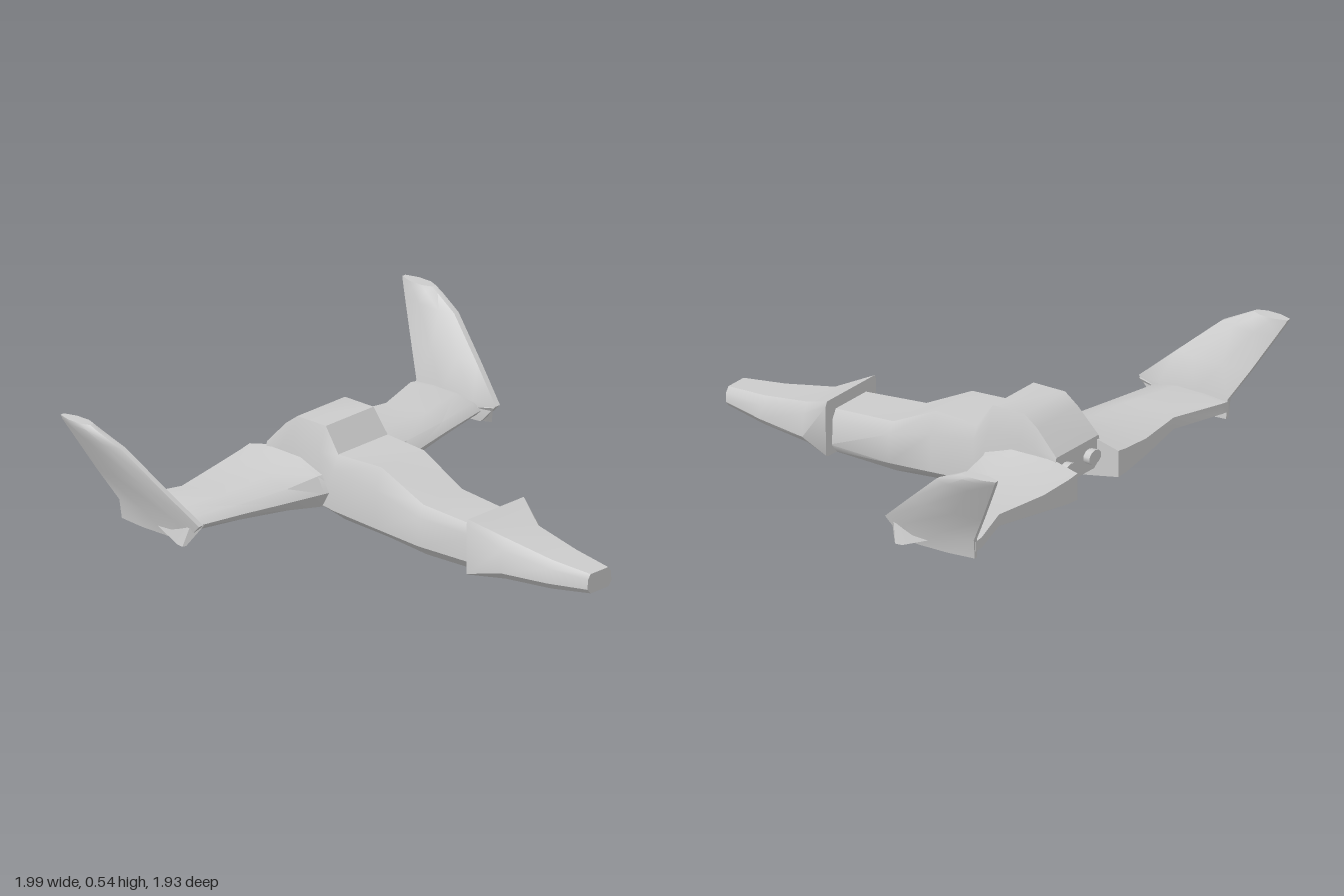
import * as THREE from 'three';
import { toCreasedNormals } from 'three/addons/utils/BufferGeometryUtils.js';

const material = new THREE.MeshStandardMaterial({ color: 0xcccccc, side: THREE.DoubleSide });

// Skin a list of equal-length rings of [x, y, z] points and close both ends.
function loft(name, rings, crease = 0.75) {
  const n = rings[0].length;
  const points = rings.flat();
  const faces = [];
  for (let r = 0; r < rings.length - 1; r++) {
    for (let i = 0; i < n; i++) {
      const a = r * n + i, b = r * n + (i + 1) % n;
      faces.push([a, b, b + n], [a, b + n, a + n]);
    }
  }
  for (const r of [0, rings.length - 1]) {
    const centre = [0, 1, 2].map(k => rings[r].reduce((s, p) => s + p[k], 0) / n);
    const c = points.push(centre) - 1;
    for (let i = 0; i < n; i++) {
      const a = r * n + i, b = r * n + (i + 1) % n;
      faces.push(r === 0 ? [b, a, c] : [a, b, c]);
    }
  }
  // A negative enclosed volume means the faces point inward.
  const v = points.map(p => new THREE.Vector3(...p));
  const volume = faces.reduce((s, [a, b, c]) => s + v[a].dot(v[b].clone().cross(v[c])), 0);
  if (volume < 0) faces.forEach(f => f.reverse());
  let geometry = new THREE.BufferGeometry();
  geometry.setAttribute('position', new THREE.Float32BufferAttribute(points.flat(), 3));
  geometry.setIndex(faces.flat());
  geometry = toCreasedNormals(geometry, crease);
  const mesh = new THREE.Mesh(geometry, material);
  mesh.name = name;
  return mesh;
}

// Hull cross-section: flat bottom, upright sides, narrower top.
const hullRing = ([z, bottom, low, high, top, wBottom, wLow, wHigh, wTop]) => [
  [wBottom, bottom, z], [wLow, low, z], [wHigh, high, z], [wTop, top, z],
  [-wTop, top, z], [-wHigh, high, z], [-wLow, low, z], [-wBottom, bottom, z],
];

// Wing cross-section: rounded leading edge and blunt trailing edge.
const wingProfile = [[0, 0.45], [0.08, 0.8], [0.35, 1], [0.7, 0.97], [1, 0.8],
  [1, 0.25], [0.7, 0.12], [0.35, 0], [0.08, 0.1]];
const wingRing = ([x, lead, trail, bottom, top]) => wingProfile.map(([f, h]) =>
  [x, bottom + (top - bottom) * h, lead + (trail - lead) * f]);

// Fin cross-section: a thin lens lying level.
const finProfile = [[0, -0.4], [0, 0.4], [0.25, 1], [0.65, 1], [1, 0.35],
  [1, -0.35], [0.65, -1], [0.25, -1]];
const finRing = ([y, x, half, lead, trail]) => finProfile.map(([f, w]) =>
  [x + half * w, y, lead + (trail - lead) * f]);

export function createModel() {
  const model = new THREE.Group();

  // Hull, with a raised back and a cabin hump
  const hull = new THREE.Group();
  hull.name = 'hull';
  hull.position.x = -0.004;
  model.add(hull);
  hull.add(loft('fuselage', [
    [0.43, 0.01, 0.05, 0.16, 0.195, 0.09, 0.125, 0.12, 0.10],
    [0.14, 0.002, 0.05, 0.17, 0.215, 0.09, 0.14, 0.14, 0.11],
    [-0.07, 0.02, 0.07, 0.23, 0.315, 0.09, 0.155, 0.155, 0.12],
    [-0.28, 0.035, 0.09, 0.26, 0.317, 0.10, 0.168, 0.168, 0.14],
    [-0.35, 0.05, 0.10, 0.315, 0.415, 0.10, 0.168, 0.168, 0.135],
    [-0.50, 0.08, 0.12, 0.315, 0.415, 0.10, 0.16, 0.16, 0.135],
    [-0.56, 0.095, 0.13, 0.29, 0.37, 0.10, 0.155, 0.155, 0.135],
    [-0.655, 0.14, 0.17, 0.235, 0.27, 0.11, 0.15, 0.15, 0.14],
  ].map(hullRing)));

  // Nose, flaring out into a collar where it meets the fuselage
  hull.add(loft('nose', [
    [0.965, 0.055, 0.075, 0.115, 0.135, 0.05, 0.068, 0.065, 0.05],
    [0.78, 0.032, 0.06, 0.12, 0.15, 0.075, 0.10, 0.095, 0.07],
    [0.56, 0.018, 0.05, 0.145, 0.185, 0.095, 0.127, 0.12, 0.09],
    [0.42, 0.012, 0.02, 0.225, 0.245, 0.15, 0.166, 0.168, 0.158],
  ].map(hullRing)));

  // Each side: wing, fin, fin spur and engine nozzle
  for (const [side, s] of [['left', 1], ['right', -1]]) {
    const mirror = ring => ring.map(([x, y, z]) => [s * x, y, z]);
    const add = (name, rings) => model.add(loft(side + name, rings.map(mirror)));

    add('Wing', [
      [0.135, -0.29, -0.755, 0.07, 0.27],
      [0.19, -0.31, -0.752, 0.075, 0.258],
      [0.34, -0.335, -0.74, 0.105, 0.232],
      [0.58, -0.38, -0.70, 0.13, 0.218],
      [0.80, -0.42, -0.775, 0.138, 0.216],
      [0.84, -0.43, -0.775, 0.135, 0.21],
    ].map(wingRing));

    add('Fin', [
      [0.125, 0.835, 0.022, -0.43, -0.772],
      [0.205, 0.843, 0.03, -0.355, -0.775],
      [0.33, 0.893, 0.03, -0.50, -0.85],
      [0.475, 0.947, 0.03, -0.67, -0.932],
      [0.525, 0.966, 0.03, -0.775, -0.96],
      [0.542, 0.97, 0.026, -0.81, -0.968],
    ].map(finRing));

    // Pointed spur below the front of the fin
    add('FinSpur', [
      [[0.82, 0.20, -0.36], [0.86, 0.19, -0.40], [0.86, 0.17, -0.60], [0.81, 0.15, -0.60]],
      [[0.868, 0.115, -0.41], [0.878, 0.112, -0.42], [0.874, 0.112, -0.45], [0.865, 0.11, -0.44]],
    ]);

    const nozzle = new THREE.Mesh(new THREE.CylinderGeometry(0.036, 0.04, 0.09, 10), material);
    nozzle.name = side + 'Nozzle';
    nozzle.rotation.x = Math.PI / 2;
    nozzle.scale.z = 0.75;
    nozzle.position.set(s * 0.08, 0.205, -0.64);
    model.add(nozzle);
  }
  return model;
}
